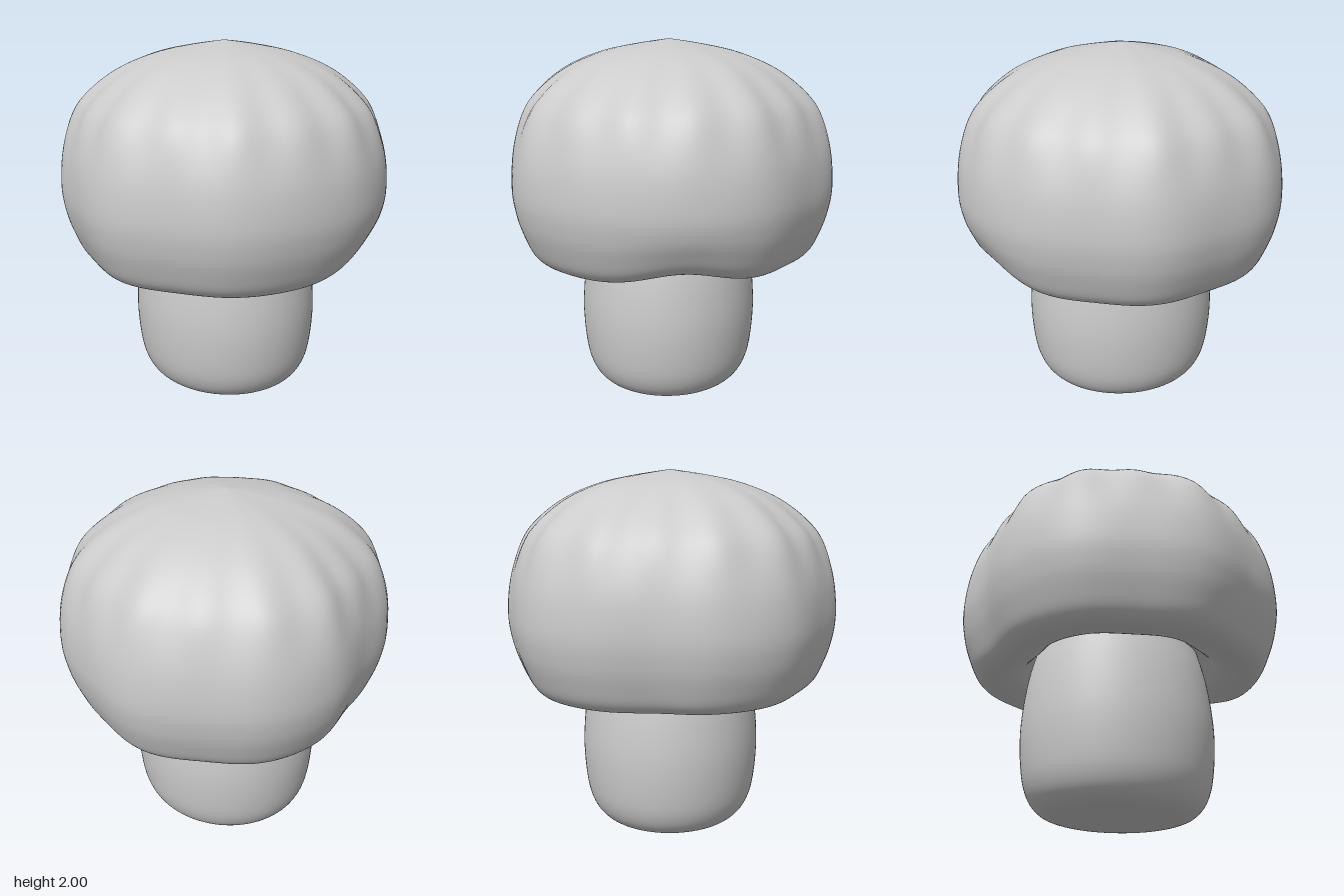
import * as THREE from 'three';
import { mergeVertices } from 'three/addons/utils/BufferGeometryUtils.js';

const AXIS_X = -0.04;

// Spin a smooth profile of [radius, height] points (bottom to top),
// then let reshape(radius, height, angle) return the new [radius, height].
function spun(profile, steps, segments, reshape) {
  const curve = new THREE.SplineCurve(profile.map(([r, y]) => new THREE.Vector2(r, y)));
  const points = curve.getPoints(steps).map(p => new THREE.Vector2(Math.max(p.x, 0), p.y));
  const geometry = new THREE.LatheGeometry(points, segments);
  const pos = geometry.attributes.position;
  for (let i = 0; i < pos.count; i++) {
    const x = pos.getX(i), z = pos.getZ(i);
    const a = Math.atan2(z, x);
    const [r, y] = reshape(Math.hypot(x, z), pos.getY(i), a);
    pos.setXYZ(i, r * Math.cos(a), y, r * Math.sin(a));
  }
  geometry.deleteAttribute('uv');
  geometry.deleteAttribute('normal');
  const welded = mergeVertices(geometry, 1e-4);
  welded.computeVertexNormals();
  return welded;
}

// Uneven cap outline: radius every 22.5 degrees from +x to -x, same front and back
const OUTLINE = [0.925, 0.92, 0.925, 0.9, 0.935, 0.903, 0.93, 0.903, 0.845];
const at = i => OUTLINE[i < 0 ? -i : i > 8 ? 16 - i : i];
function outline(a) {
  const t = Math.abs(a) / (Math.PI / 8);
  const i = Math.min(Math.floor(t), 7), f = t - i;
  const p0 = at(i - 1), p1 = at(i), p2 = at(i + 1), p3 = at(i + 2);
  return p1 + 0.5 * f * (p2 - p0 + f * (2 * p0 - 5 * p1 + 4 * p2 - p3 + f * (3 * (p1 - p2) + p3 - p0)));
}

export function createModel() {
  const group = new THREE.Group();
  const material = new THREE.MeshStandardMaterial({ color: 0xcccccc, roughness: 0.8 });

  // Cap: hollow underside, rolled rim, domed top with a faint peak
  const cap = new THREE.Mesh(spun([
    [0.38, 0.95], [0.48, 0.92], [0.58, 0.83], [0.68, 0.79], [0.77, 0.795], [0.83, 0.84],
    [0.875, 0.93], [0.915, 1.05], [0.935, 1.2], [0.915, 1.4], [0.85, 1.59],
    [0.76, 1.715], [0.6, 1.84], [0.4, 1.925], [0.2, 1.97], [0, 2],
  ], 90, 160, (r, y, a) => {
    // Shallow folds on the shoulder
    const fold = 0.012 * Math.cos(16 * a) * Math.exp(-(((y - 1.68) / 0.2) ** 2)) * Math.min(1, r / 0.5);
    // Rim lifts a little on one side
    const lift = 0.07 * Math.exp(-(((a + 0.33) / 0.36) ** 2)) *
      THREE.MathUtils.smoothstep(r, 0.4, 0.65) * (1 - THREE.MathUtils.smoothstep(y, 0.8, 1.2));
    return [r * outline(a) / 0.935 + fold, y + lift];
  }), material);
  cap.name = 'cap';

  // Stem: stout oval barrel with a rounded, flat-bottomed foot
  const stem = new THREE.Mesh(spun([
    [0, 0.005], [0.2, 0.005], [0.36, 0.015], [0.44, 0.06], [0.49, 0.15], [0.515, 0.28],
    [0.525, 0.45], [0.515, 0.62], [0.49, 0.79], [0.45, 0.95], [0.42, 1.05],
  ], 60, 96, (r, y, a) => {
    const oval = 1 + 0.035 * Math.cos(2 * a);
    return [r * oval, Math.max(0, y - 0.005)];
  }), material);
  stem.name = 'stem';

  for (const part of [cap, stem]) {
    part.position.x = AXIS_X;
    group.add(part);
  }
  return group;
}
